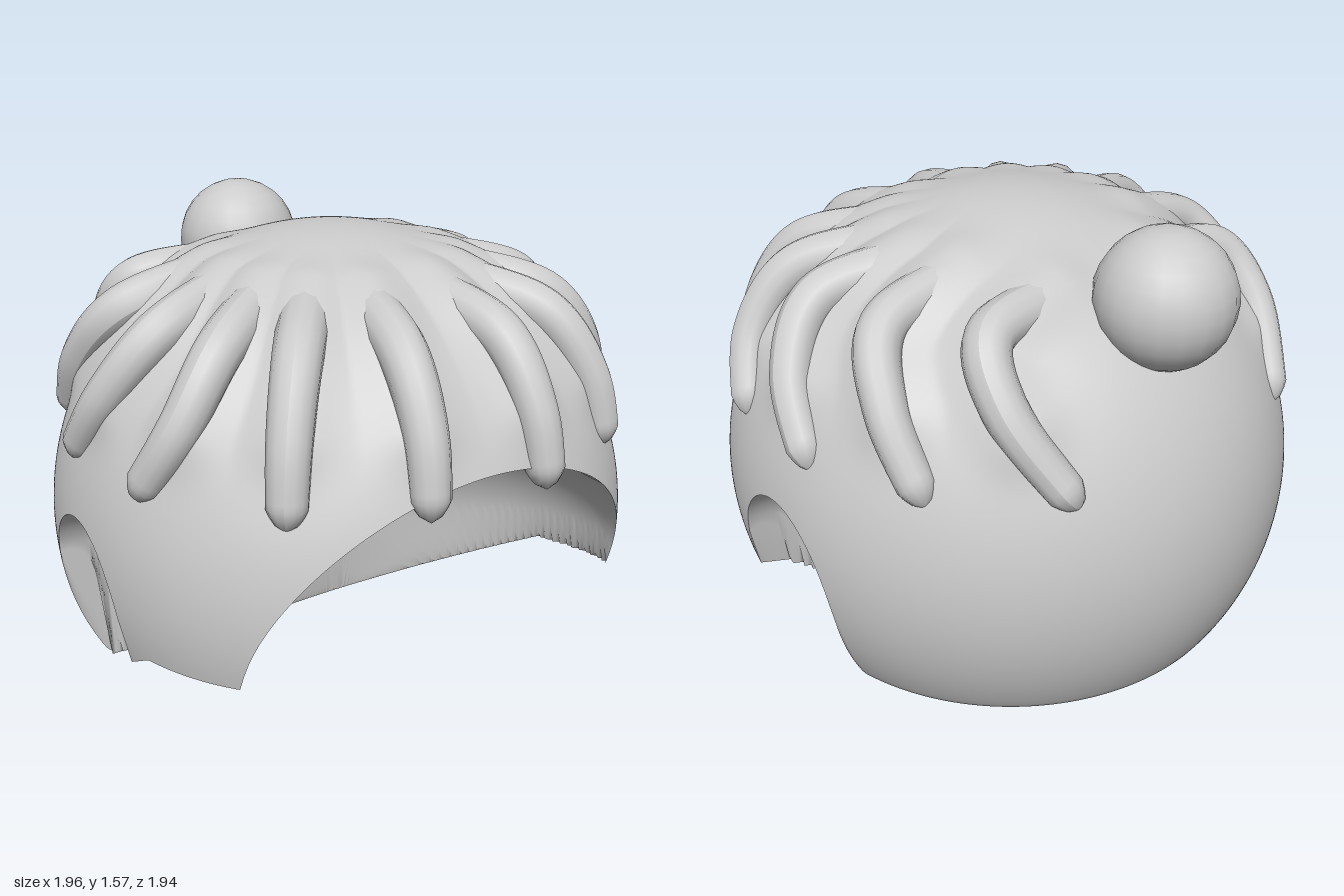
import * as THREE from 'three';

const material = new THREE.MeshStandardMaterial({ color: 0xcccccc, side: THREE.DoubleSide });
const COLUMNS = 360;
const RADIUS = 0.992;
const CENTRE = new THREE.Vector3(0, 0.54, 0);
const LOWEST = Math.asin(-CENTRE.y / RADIUS);

// Point of the near-spherical shell; t runs from hem to crown,
// angle 0 is the front, 90 degrees is +x
function shellPoint(angle, t) {
  const elevation = THREE.MathUtils.lerp(LOWEST, Math.PI / 2, t);
  const y = Math.max(0, CENTRE.y + RADIUS * Math.sin(elevation));
  const c = Math.cos(angle);
  const squareness = c > 0 ? 0.035 * Math.sin(2 * angle) ** 2 : 0;
  const hemRounding = 0.035 * Math.max(0, 1 - y / 0.05) ** 2;
  const r = RADIUS * Math.cos(elevation) * (1 + squareness) - hemRounding;
  return new THREE.Vector3(r * Math.sin(angle), y, r * c);
}

// Find the shell parameter above which test(point) holds
function findT(angle, test) {
  let lo = 0, hi = 0.98;
  for (let i = 0; i < 26; i++) {
    const mid = (lo + hi) / 2;
    if (test(shellPoint(angle, mid))) hi = mid; else lo = mid;
  }
  return hi;
}

// Direction pointing out of the body
const outward = (p) => p.clone().sub(CENTRE).normalize();

// Dome that drops steeply outside its footprint (f < 0)
const dome = (base, height, f) => base + (f > 0 ? height * Math.sqrt(f) : 4 * f);

// Height of the underside: flat hem, slant, face hollow and ear scoops
function underside(x, z) {
  const hem = THREE.MathUtils.clamp(0.575 * (z + 0.2), 0, 0.345);
  const dz = Math.min(0, z - 0.7) / 0.65;
  const face = dome(0.34, 0.61, 1 - (x / 0.735) ** 2 - dz ** 2);
  const dx = Math.min(0, Math.abs(x) - 1) / 0.28;
  const ear = dome(0.38, 0.32, 1 - dx ** 2 - ((z - 0.05) / 0.25) ** 2);
  return Math.max(hem, face, ear);
}

// Closed ring grid: pointAt(column, v) with v running from 0 to 1
function ringGrid(rows, pointAt) {
  const positions = [], index = [];
  for (let i = 0; i <= rows; i++) {
    for (let j = 0; j < COLUMNS; j++) positions.push(...pointAt(j, i / rows).toArray());
  }
  for (let i = 0; i < rows; i++) {
    for (let j = 0; j < COLUMNS; j++) {
      const k = (j + 1) % COLUMNS;
      const a = i * COLUMNS + j, b = i * COLUMNS + k;
      index.push(a, b, b + COLUMNS, a, b + COLUMNS, a + COLUMNS);
    }
  }
  const g = new THREE.BufferGeometry();
  g.setAttribute('position', new THREE.Float32BufferAttribute(positions, 3));
  g.setIndex(index);
  g.computeVertexNormals();
  return g;
}

// Locks of hair as (degrees, height) paths on the shell, front to back
const locks = [
  [[17, 1.43], [14.5, 1.26], [13.5, 1.08], [13.5, 0.86]],
  [[41, 1.43], [39, 1.26], [39, 1.08], [39, 0.86]],
  [[62, 1.43], [58, 1.26], [61, 1.08], [70, 0.86]],
  [[86, 1.43], [79, 1.26], [85, 1.09], [96, 0.86]],
  [[114, 1.43], [105, 1.26], [112, 1.1], [122, 0.86]],
  [[152, 1.39], [132, 1.27], [136, 1.13], [150, 0.86]],
];
const lockOffsets = [-0.065, 0.045, 0.035, -0.015];

// Path that rises out of the crown, bends over and sinks at the tip
function lockCurve(path, side) {
  return new THREE.CatmullRomCurve3(path.map(([deg, y], i) => {
    const a = THREE.MathUtils.degToRad(side * deg);
    const p = shellPoint(a, findT(a, (q) => q.y > y));
    return p.addScaledVector(outward(p), lockOffsets[i]);
  }));
}

// Tapered tube with a rounded tip
function strandGeometry(curve) {
  const segments = 36, sides = 14;
  const g = new THREE.TubeGeometry(curve, segments, 1, sides);
  const pos = g.attributes.position;
  const v = new THREE.Vector3();
  for (let i = 0; i <= segments; i++) {
    const s = i / segments;
    const centre = curve.getPointAt(s);
    const tip = Math.sqrt(Math.min(1, (1 - s) / 0.08));
    const radius = Math.max(0.001, (0.085 - 0.025 * s) * tip);
    for (let j = 0; j <= sides; j++) {
      const k = i * (sides + 1) + j;
      v.fromBufferAttribute(pos, k).sub(centre).multiplyScalar(radius).add(centre);
      pos.setXYZ(k, v.x, v.y, v.z);
    }
  }
  g.computeVertexNormals();
  return g;
}

export function createModel() {
  const group = new THREE.Group();
  group.name = 'hairpiece';
  const add = (name, geometry) => {
    const mesh = new THREE.Mesh(geometry, material);
    mesh.name = name;
    group.add(mesh);
    return mesh;
  };

  // Locks of hair, mirrored left and right
  const lockPoints = [];
  for (const path of locks) {
    for (const side of [1, -1]) {
      const curve = lockCurve(path, side);
      lockPoints.push(...curve.getSpacedPoints(30).slice(0, 21));
      add(side > 0 ? 'strandLeft' : 'strandRight', strandGeometry(curve));
    }
  }

  // Soft swelling that blends the shell into the locks
  const swell = (p) => {
    let d2 = Infinity;
    for (const q of lockPoints) d2 = Math.min(d2, p.distanceToSquared(q));
    return p.addScaledVector(outward(p), 0.045 * Math.exp(-d2 / 0.012));
  };

  // Lower rim, where the shell meets the underside
  const rim = Array.from({ length: COLUMNS }, (_, j) => {
    const angle = (j / COLUMNS) * Math.PI * 2;
    const t = findT(angle, (p) => p.y > underside(p.x, p.z));
    return { angle, t, point: swell(shellPoint(angle, t)) };
  });

  // Rows below the rim collapse onto it
  add('outerShell', ringGrid(84, (j, v) =>
    swell(shellPoint(rim[j].angle, Math.max(rim[j].t, v)))));

  add('underside', ringGrid(80, (j, v) => {
    const p = rim[j].point.clone();
    if (v === 1) return p;
    p.x *= v;
    p.z *= v;
    p.y = underside(p.x, p.z);
    return p;
  }));

  // Bun at the back of the crown
  add('bun', new THREE.SphereGeometry(0.224, 20, 14)).position.set(0, 1.35, -0.685);

  return group;
}
